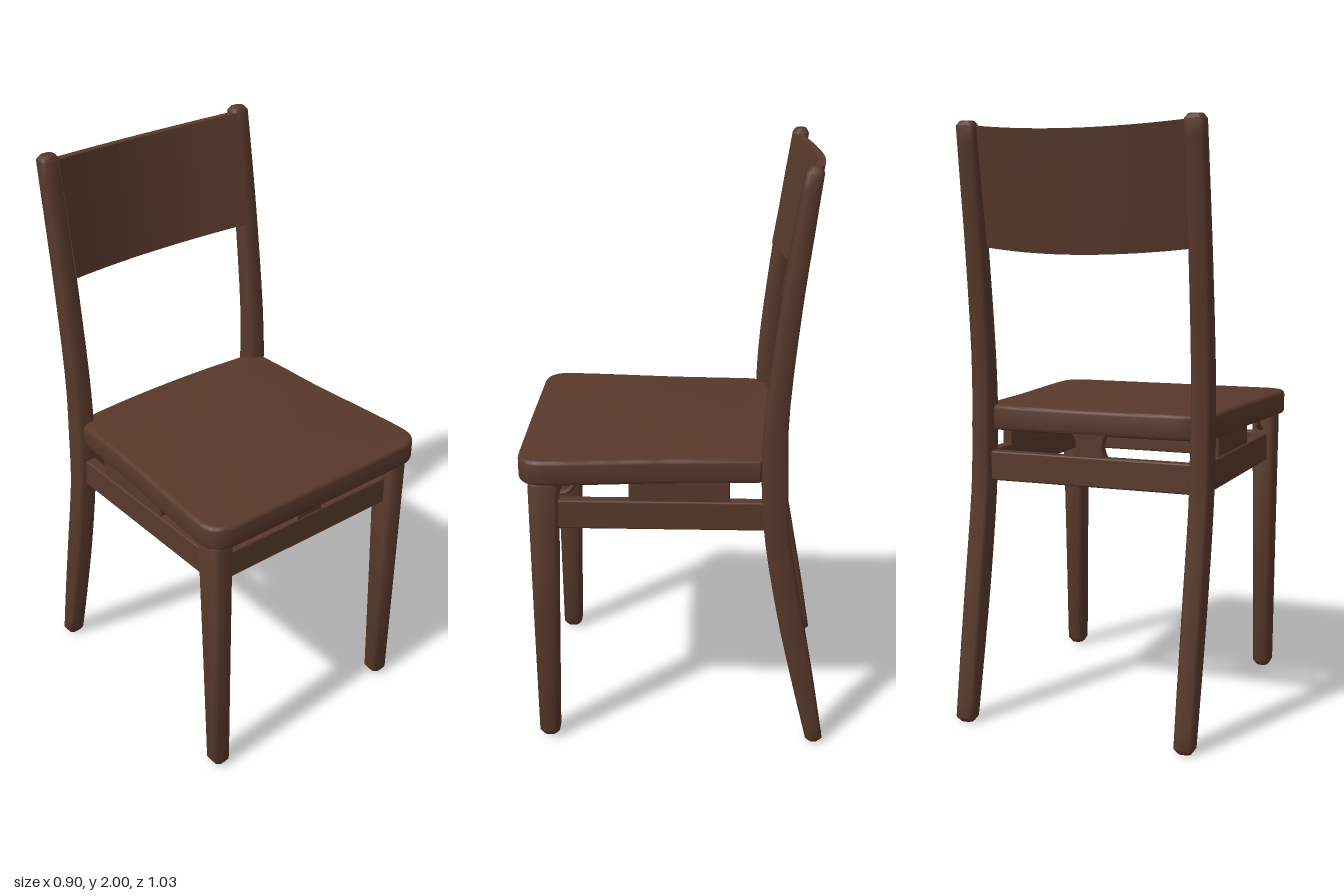
import * as THREE from 'three';
import { toCreasedNormals } from 'three/addons/utils/BufferGeometryUtils.js';
import { RoundedBoxGeometry } from 'three/addons/geometries/RoundedBoxGeometry.js';

const wood = new THREE.MeshStandardMaterial({ color: 0x58392b });

// Upright post lofted through rectangular sections [y, x0, x1, z0, z1] with cut corners
function loft(sections, cut) {
  const pos = [], idx = [], n = 8;
  for (const [y, x0, x1, z0, z1] of sections) {
    const c = cut;
    const ring = [
      [x1, z0 + c], [x1, z1 - c], [x1 - c, z1], [x0 + c, z1],
      [x0, z1 - c], [x0, z0 + c], [x0 + c, z0], [x1 - c, z0],
    ];
    for (const [x, z] of ring) pos.push(x, y, z);
  }
  const last = (sections.length - 1) * n;
  for (let i = 0; i < last; i += n) {
    for (let j = 0; j < n; j++) {
      const a = i + j, b = i + (j + 1) % n;
      idx.push(a, a + n, b, b, a + n, b + n);
    }
  }
  for (let j = 1; j < n - 1; j++) {
    idx.push(0, j, j + 1, last, last + j + 1, last + j);
  }
  const g = new THREE.BufferGeometry();
  g.setAttribute('position', new THREE.Float32BufferAttribute(pos, 3));
  g.setIndex(idx);
  return toCreasedNormals(g, 0.9);
}

// Pull the first and last sections in to round off the ends
function roundEnds(sections, h, inset) {
  const end = ([y, x0, x1, z0, z1], dy) =>
    [y + dy, x0 + inset, x1 - inset, z0 + inset, z1 - inset];
  const first = sections[0], last = sections[sections.length - 1];
  return [end(first, -h), ...sections, end(last, h)];
}

export function createModel() {
  const chair = new THREE.Group();
  chair.name = 'chair';

  const add = (name, geometry, x = 0, y = 0, z = 0) => {
    const mesh = new THREE.Mesh(geometry, wood);
    mesh.name = name;
    mesh.position.set(x, y, z);
    chair.add(mesh);
    return mesh;
  };
  const box = (name, w, h, d, x, y, z, r = 0.006) =>
    add(name, new RoundedBoxGeometry(w, h, d, 2, r), x, y, z);

  // Seat: tapered plan, bowed back edge, notched around the back posts
  const bevel = 0.014;
  const plan = new THREE.Shape();
  plan.moveTo(-0.36, -0.498);
  plan.quadraticCurveTo(0, -0.5, 0.36, -0.498);
  plan.quadraticCurveTo(0.436, -0.496, 0.437, -0.43);
  plan.bezierCurveTo(0.432, -0.25, 0.402, -0.06, 0.402, 0.12);
  plan.lineTo(0.395, 0.27);
  plan.lineTo(0.345, 0.315);
  plan.quadraticCurveTo(0, 0.347, -0.345, 0.315);
  plan.lineTo(-0.395, 0.27);
  plan.lineTo(-0.402, 0.12);
  plan.bezierCurveTo(-0.402, -0.06, -0.432, -0.25, -0.437, -0.43);
  plan.quadraticCurveTo(-0.436, -0.496, -0.36, -0.498);
  const seat = new THREE.ExtrudeGeometry(plan, {
    depth: 0.085 - 2 * bevel, bevelThickness: bevel, bevelSize: bevel,
    bevelSegments: 3, curveSegments: 12,
  });
  seat.rotateX(-Math.PI / 2);
  add('seat', toCreasedNormals(seat, 0.7), 0, 0.98 + bevel, 0);

  // Back post curve, each point being (back z, y, front z)
  const postCurve = new THREE.CatmullRomCurve3([
    [-0.513, 0.02, -0.455], [-0.475, 0.25, -0.4], [-0.43, 0.5, -0.345],
    [-0.378, 0.8, -0.295], [-0.368, 1.0, -0.283], [-0.364, 1.2, -0.289],
    [-0.395, 1.57, -0.33], [-0.423, 1.8, -0.363], [-0.446, 1.985, -0.392],
  ].map((p) => new THREE.Vector3(...p)));

  for (const s of [1, -1]) {
    const side = s > 0 ? 'left' : 'right';
    const span = (inner, outer) => (s > 0 ? [inner, outer] : [-outer, -inner]);

    // Front leg, slightly tapered to the foot
    const frontRows = [
      [0.03, ...span(0.353, 0.416), 0.403, 0.472],
      [0.5, ...span(0.35, 0.42), 0.392, 0.476],
      [0.97, ...span(0.345, 0.425), 0.38, 0.478],
    ];
    add(side + 'FrontLeg', loft(roundEnds(frontRows, 0.018, 0.01), 0.012));

    // Back leg and post in one bent piece
    const backRows = postCurve.getPoints(28)
      .map((p) => [p.y, ...span(0.357, 0.422), p.x, p.z]);
    add(side + 'BackPost', loft(roundEnds(backRows, 0.015, 0.01), 0.01));

    // Side rail and the spacer carrying the seat
    box(side + 'SideRail', 0.04, 0.1, 0.71, s * 0.383, 0.86, 0.045);
    box(side + 'SideSpacer', 0.035, 0.08, 0.33, s * 0.38, 0.945, -0.015);

    // Curved corner brace behind the front leg
    const brace = new THREE.TorusGeometry(0.05, 0.009, 6, 10, Math.PI / 2);
    brace.rotateZ(-Math.PI / 2);
    brace.rotateY(Math.PI / 2);
    add(side + 'CornerBrace', brace, s * 0.383, 0.98, 0.375);
  }

  // Front and back rails with flared spacers
  box('frontRail', 0.72, 0.1, 0.04, 0, 0.86, 0.43);
  box('backRail', 0.74, 0.1, 0.04, 0, 0.86, -0.325);
  const profile = new THREE.Shape();
  profile.moveTo(-0.065, 0.9);
  profile.lineTo(0.065, 0.9);
  profile.quadraticCurveTo(0.045, 0.92, 0.045, 0.945);
  profile.quadraticCurveTo(0.045, 0.97, 0.06, 0.985);
  profile.lineTo(-0.06, 0.985);
  profile.quadraticCurveTo(-0.045, 0.97, -0.045, 0.945);
  profile.quadraticCurveTo(-0.045, 0.92, -0.065, 0.9);
  const spacer = new THREE.ExtrudeGeometry(profile, {
    depth: 0.034, bevelEnabled: false, curveSegments: 6,
  });
  add('frontSpacer', spacer, 0, 0, 0.413);
  add('backSpacer', spacer, 0, 0, -0.342);

  // Backrest: panel bowed backwards and leaning with the posts
  const panel = new THREE.BoxGeometry(0.73, 0.39, 0.026, 24, 4, 1);
  const p = panel.attributes.position;
  for (let i = 0; i < p.count; i++) {
    const y = p.getY(i);
    const bow = 1 - (p.getX(i) / 0.365) ** 2;
    p.setZ(i, p.getZ(i) - 0.06 * bow - 0.165 * y);
    p.setY(i, y - 0.022 * bow);
  }
  add('backrest', toCreasedNormals(panel, 0.7), 0, 1.79, -0.372);

  return chair;
}
